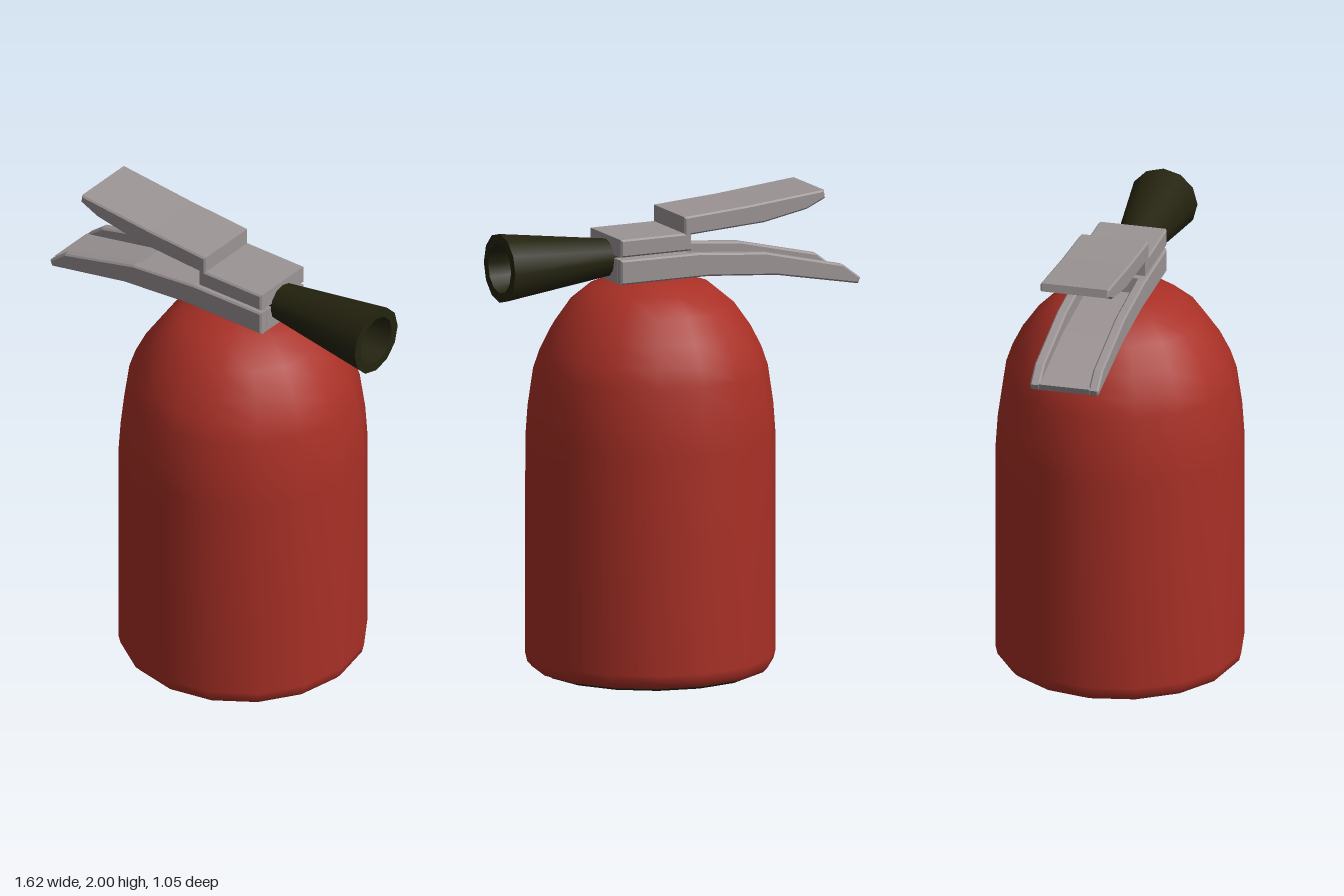
import * as THREE from 'three';
import { toCreasedNormals } from 'three/addons/utils/BufferGeometryUtils.js';

const red = new THREE.MeshStandardMaterial({ color: 0xa93026 });
red.name = 'tankRed';
const grey = new THREE.MeshStandardMaterial({ color: 0x9c9495 });
grey.name = 'handleGrey';
const dark = new THREE.MeshStandardMaterial({ color: 0x24230f });
dark.name = 'rubberDark';

const vectors = (points) => points.map(([x, y]) => new THREE.Vector2(x, y));

function part(name, geometry, material) {
  const mesh = new THREE.Mesh(geometry, material);
  mesh.name = name;
  return mesh;
}

// Side profile in x/y, extruded from z0 to z1 with softened edges inside the outline
function plate(name, points, z0, z1) {
  const b = 0.007;
  const geometry = new THREE.ExtrudeGeometry(new THREE.Shape(vectors(points)), {
    depth: z1 - z0 - 2 * b,
    bevelEnabled: true,
    bevelSize: b,
    bevelOffset: -b,
    bevelThickness: b,
    bevelSegments: 1,
  });
  geometry.translate(0, 0, z0 + b);
  return part(name, geometry, grey);
}

export function createModel() {
  const model = new THREE.Group();
  model.name = 'fireExtinguisher';
  const half = 0.148;

  // Tank: sixteen-sided smooth body with a domed top
  const tank = new THREE.Group();
  tank.name = 'tank';
  tank.position.x = 0.1;
  const body = new THREE.LatheGeometry(vectors([
    [0.465, 0.008], [0.495, 0.015], [0.516, 0.037], [0.525, 0.075], [0.525, 0.6],
    [0.524, 1.0], [0.515, 1.13], [0.492, 1.29], [0.465, 1.37], [0.42, 1.46],
    [0.35, 1.56], [0.26, 1.635], [0.13, 1.68], [0, 1.688],
  ]), 16);
  const base = new THREE.CircleGeometry(0.467, 16).rotateX(Math.PI / 2).translate(0, 0.007, 0);
  // Slim foot closes the base down to the ground
  const foot = new THREE.CylinderGeometry(0.467, 0.46, 0.008, 16).translate(0, 0.004, 0);
  tank.add(part('tankBody', body, red), part('tankBase', base, dark), part('tankFoot', foot, dark));
  model.add(tank);

  // Upper squeeze lever with a step down to its mount
  model.add(plate('upperLever', [
    [0.31, 1.8], [0.31, 1.875], [0.013, 1.875], [0.013, 1.945], [-0.28, 1.965],
    [-0.64, 2.0], [-0.645, 1.965], [-0.56, 1.926], [-0.36, 1.888], [-0.02, 1.868], [-0.02, 1.8],
  ], -half, half));

  // Lower lever: an upward-open channel leading to a solid mount
  const lower = new THREE.Group();
  lower.name = 'lowerLever';
  const wall = [
    [0.31, 1.683], [0.31, 1.787], [-0.05, 1.785], [-0.37, 1.757], [-0.73, 1.672],
    [-0.81, 1.61], [-0.8, 1.585], [-0.42, 1.657], [-0.1, 1.683],
  ];
  for (const s of [-1, 1]) {
    const inner = s * 0.105, outer = s * half;
    lower.add(plate('leverWall', wall, Math.min(inner, outer), Math.max(inner, outer)));
  }
  lower.add(plate('leverFloor', [
    [0.0, 1.683], [0.0, 1.717], [-0.1, 1.715], [-0.42, 1.69],
    [-0.81, 1.614], [-0.8, 1.585], [-0.42, 1.657], [-0.1, 1.683],
  ], -0.115, 0.115));
  lower.add(plate('leverMount', [
    [-0.02, 1.683], [0.31, 1.683], [0.31, 1.787], [-0.02, 1.785],
  ], -0.115, 0.115));
  model.add(lower);

  // Flared discharge nozzle with a hollow mouth
  const nozzle = new THREE.LatheGeometry(vectors([
    [0, 0.28], [0.077, 0.28], [0.147, 0.805], [0.107, 0.805], [0.07, 0.5], [0, 0.5],
  ]), 12);
  nozzle.rotateZ(-Math.PI / 2).translate(0, 1.775, 0);
  model.add(part('nozzle', toCreasedNormals(nozzle, 0.7), dark));

  return model;
}
